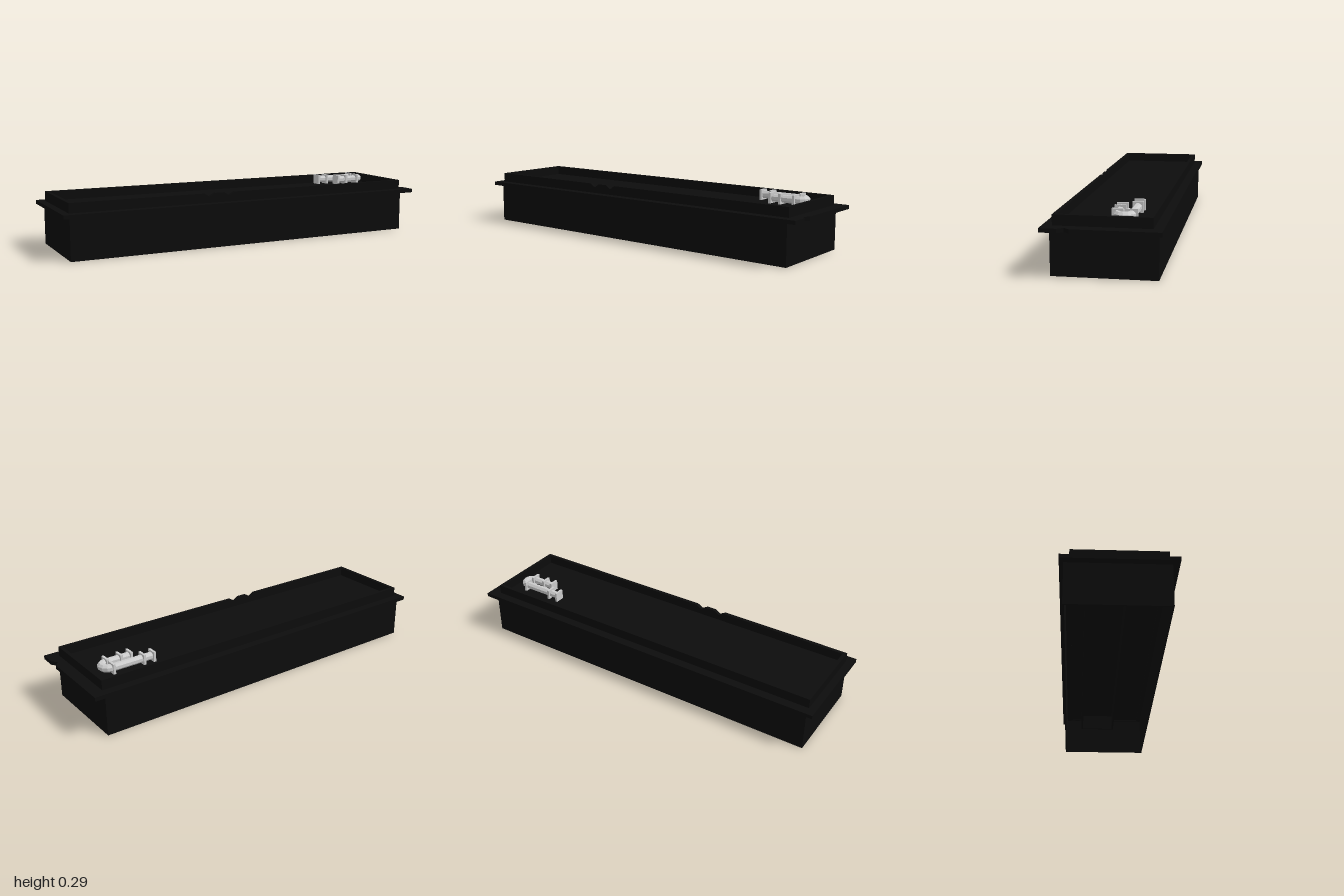
import * as THREE from 'three';

const black = new THREE.MeshStandardMaterial({ color: 0x0c0c0c });
const grey = new THREE.MeshStandardMaterial({ color: 0xcccccc, flatShading: true });

function add(parent, name, geometry, material = black) {
  const mesh = new THREE.Mesh(geometry, material);
  mesh.name = name;
  parent.add(mesh);
  return mesh;
}

function box(x0, x1, y0, y1, z0, z1) {
  return new THREE.BoxGeometry(x1 - x0, y1 - y0, z1 - z0)
    .translate((x0 + x1) / 2, (y0 + y1) / 2, (z0 + z1) / 2);
}

const corners = (pts) => pts.map(([x, y]) => new THREE.Vector2(x, y));

// Rectangular ring lying flat; outline and hole are given as [x, z].
function frame(outline, [x0, x1, z0, z1], y0, y1) {
  const flip = (pts) => corners(pts.map(([x, z]) => [x, -z]));
  const shape = new THREE.Shape(flip(outline));
  shape.holes.push(new THREE.Path(flip([[x0, z0], [x1, z0], [x1, z1], [x0, z1]])));
  return new THREE.ExtrudeGeometry(shape, { depth: y1 - y0, bevelEnabled: false })
    .rotateX(-Math.PI / 2).translate(0, y0, 0);
}

const rect = (x0, x1, z0, z1) => [[x0, z0], [x0, z1], [x1, z1], [x1, z0]];

// U-shaped pipe with square collars
function createPipe() {
  const pipe = new THREE.Group();
  pipe.name = 'pipe';
  const y = 0.263, bend = 0.0325, zMid = -0.0785, xBend = 0.83;
  const path = [[0.6, -bend]];
  for (let i = 0; i <= 6; i++) {
    const a = -Math.PI / 2 + (Math.PI * i) / 6;
    path.push([xBend + bend * Math.cos(a), bend * Math.sin(a)]);
  }
  path.push([0.69, bend]);

  // Octagonal section swept along the path, with a flat top
  const sides = 8, r = 0.0195, pos = [], index = [];
  path.forEach(([x, z], i) => {
    const a = path[Math.max(i - 1, 0)], b = path[Math.min(i + 1, path.length - 1)];
    const t = new THREE.Vector2(b[0] - a[0], b[1] - a[1]).normalize();
    for (let j = 0; j < sides; j++) {
      const q = ((j + 0.5) / sides) * Math.PI * 2;
      const out = r * Math.cos(q);
      pos.push(x + t.y * out, y + r * Math.sin(q), zMid + z - t.x * out);
      if (i > 0) {
        const k = (j + 1) % sides, p = (i - 1) * sides, n = i * sides;
        index.push(p + j, p + k, n + j, p + k, n + k, n + j);
      }
    }
  });
  const geometry = new THREE.BufferGeometry();
  geometry.setAttribute('position', new THREE.Float32BufferAttribute(pos, 3));
  geometry.setIndex(index);
  geometry.computeVertexNormals();
  const tube = add(pipe, 'pipeTube', geometry, grey.clone());
  tube.material.side = THREE.DoubleSide;

  // Collars on both legs
  const collars = [[0.605, -1], [0.66, -1], [0.825, -1], [0.695, 1], [0.75, 1], [0.825, 1]];
  for (const [x, side] of collars) {
    const z = zMid + side * bend, h = 0.0262;
    add(pipe, 'pipeCollar', box(x - 0.006, x + 0.006, y - h, y + h, z - h, z + h), grey);
  }
  return pipe;
}

export function createModel() {
  const model = new THREE.Group();
  model.name = 'burnerTray';
  const x0 = -0.963, x1 = 0.94, floor = 0.23, top = 0.277;

  // Lower housing, open underneath
  add(model, 'housing', frame(rect(x0, x1, -0.247, 0.235),
    [x0 + 0.008, x1 - 0.008, -0.239, 0.227], 0, 0.21));

  // Mounting flange with a small nick in its left edge
  add(model, 'flange', frame(
    [[-1, -0.267], [-1, 0.267], [1, 0.267], [1, 0.187], [0.978, 0.16], [1, 0.133], [1, -0.267]],
    [x0 + 0.008, x1 - 0.008, -0.214, 0.214], 0.209, 0.228));

  // Recessed floor inside the rim
  add(model, 'trayFloor', box(x0 + 0.005, x1 - 0.005, 0.216, floor, -0.218, 0.218));

  // Raised rim: back and both ends
  const w = 0.018;
  add(model, 'backRim', box(x0, x1, 0.21, top, -0.222, -0.222 + w));
  add(model, 'rightRim', box(x0, x0 + w, 0.21, top, -0.222 + w, 0.222 - w));
  add(model, 'leftRim', box(x1 - w, x1, 0.21, top, -0.222 + w, 0.222 - w));

  // Front rim with two nicks in its top edge
  const profile = [[x0, 0.21], [x1, 0.21], [x1, top]];
  for (const x of [-0.13, -0.24]) {
    profile.push([x + 0.03, top], [x, top - 0.018], [x - 0.03, top]);
  }
  profile.push([x0, top]);
  add(model, 'frontRim', new THREE.ExtrudeGeometry(new THREE.Shape(corners(profile)),
    { depth: w, bevelEnabled: false }).translate(0, 0, 0.222 - w));

  // Shallow channel hanging below the floor
  add(model, 'burnerChannel', frame(rect(-0.82, 0.87, -0.15, 0.05),
    [-0.81, 0.86, -0.14, 0.04], 0.13, 0.217));

  model.add(createPipe());
  return model;
}
